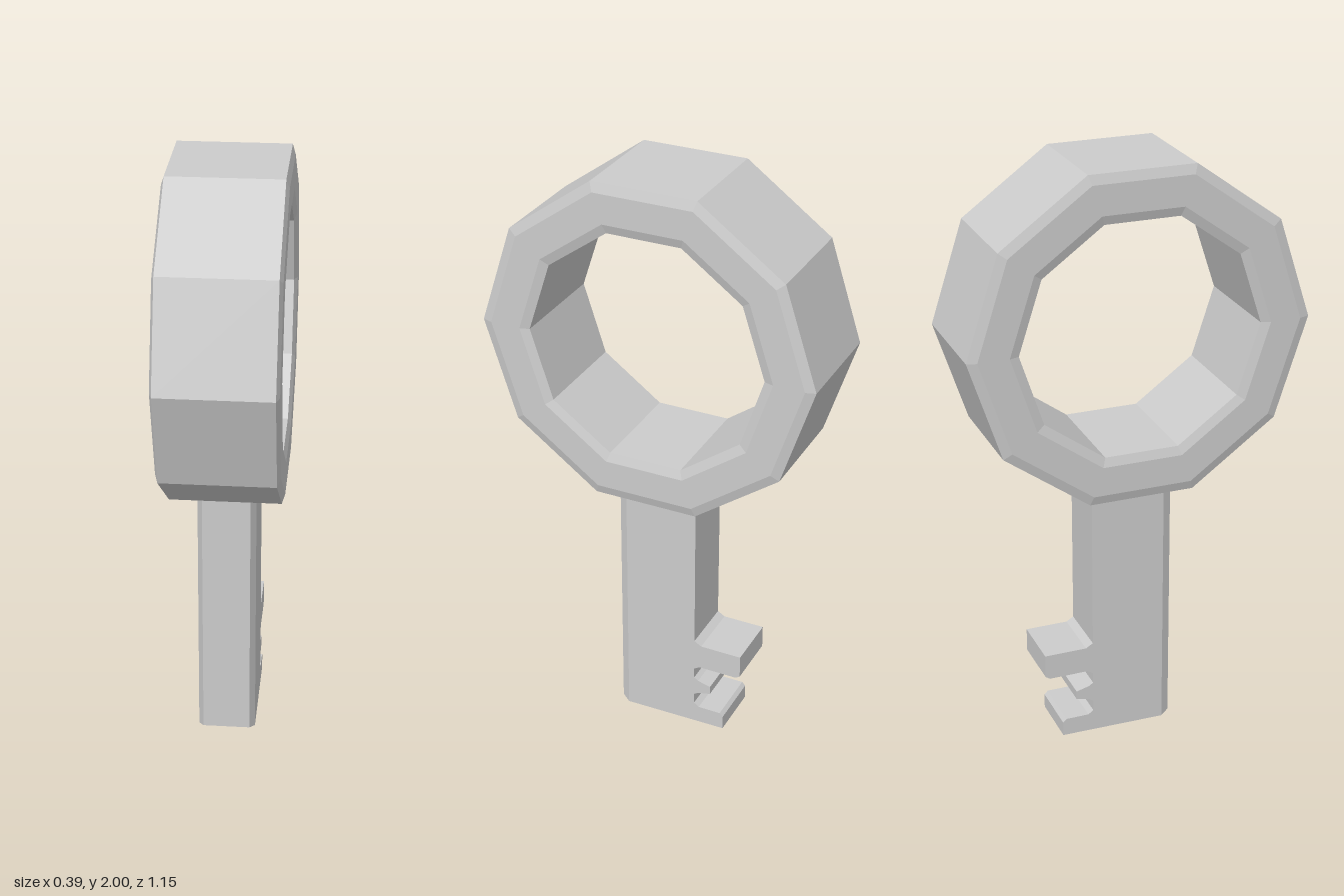
import * as THREE from 'three';

const material = new THREE.MeshStandardMaterial({ color: 0xcccccc, flatShading: true });

function part(name, geometry) {
  const mesh = new THREE.Mesh(geometry, material);
  mesh.name = name;
  return mesh;
}

// Ten-sided ring with shallow chamfers, its axis along x
function ringBow() {
  const profile = [
    [0.573, -0.183], [0.573, 0.183], [0.54, 0.193], [0.437, 0.193],
    [0.405, 0.183], [0.405, -0.183], [0.437, -0.193], [0.54, -0.193], [0.573, -0.183],
  ].map(([r, x]) => new THREE.Vector2(r, x));
  const geometry = new THREE.LatheGeometry(profile, 10);
  geometry.rotateZ(Math.PI / 2);
  geometry.translate(0, 1.455, 0);
  return part('ringBow', geometry);
}

const width = 0.194, front = 0.143, seam = 0.113, top = 0.95;

// Shaft and teeth as one side outline (z, y), extruded across x
function shaftWithTeeth() {
  const outline = [
    [seam, 0], [-0.25, 0.005],
    [-0.25, 0.055], [-0.238, 0.067], [-0.158, 0.067], [-0.14, 0.08], // lower tooth
    [-0.14, 0.118], [-0.155, 0.128], [-0.2, 0.138],
    [-0.2, 0.168], [-0.155, 0.18], [-0.14, 0.19], // middle tooth
    [-0.14, 0.228], [-0.16, 0.24], [-0.295, 0.24], [-0.31, 0.25],
    [-0.31, 0.33], [-0.165, 0.33], [-0.14, 0.345], // upper tooth
    [-0.14, top], [seam, top],
  ].map(([z, y]) => new THREE.Vector2(z, y));
  const geometry = new THREE.ExtrudeGeometry(new THREE.Shape(outline), { depth: width, bevelEnabled: false });
  geometry.rotateY(-Math.PI / 2);
  geometry.translate(width / 2, 0, 0);
  return part('shaftWithTeeth', geometry);
}

// Front strip of the shaft, tapered to chamfer its side and bottom edges
function shaftFront() {
  const geometry = new THREE.BoxGeometry(width, top, front - seam);
  geometry.translate(0, top / 2, (front + seam) / 2);
  const p = geometry.attributes.position;
  for (let i = 0; i < p.count; i++) {
    if (p.getZ(i) < front - 0.01) continue;
    p.setX(i, p.getX(i) * 0.82);
    if (p.getY(i) < 0.01) p.setY(i, 0.01);
  }
  geometry.computeVertexNormals();
  return part('shaftFront', geometry);
}

export function createModel() {
  const key = new THREE.Group();
  key.name = 'key';
  key.add(ringBow(), shaftWithTeeth(), shaftFront());
  return key;
}
